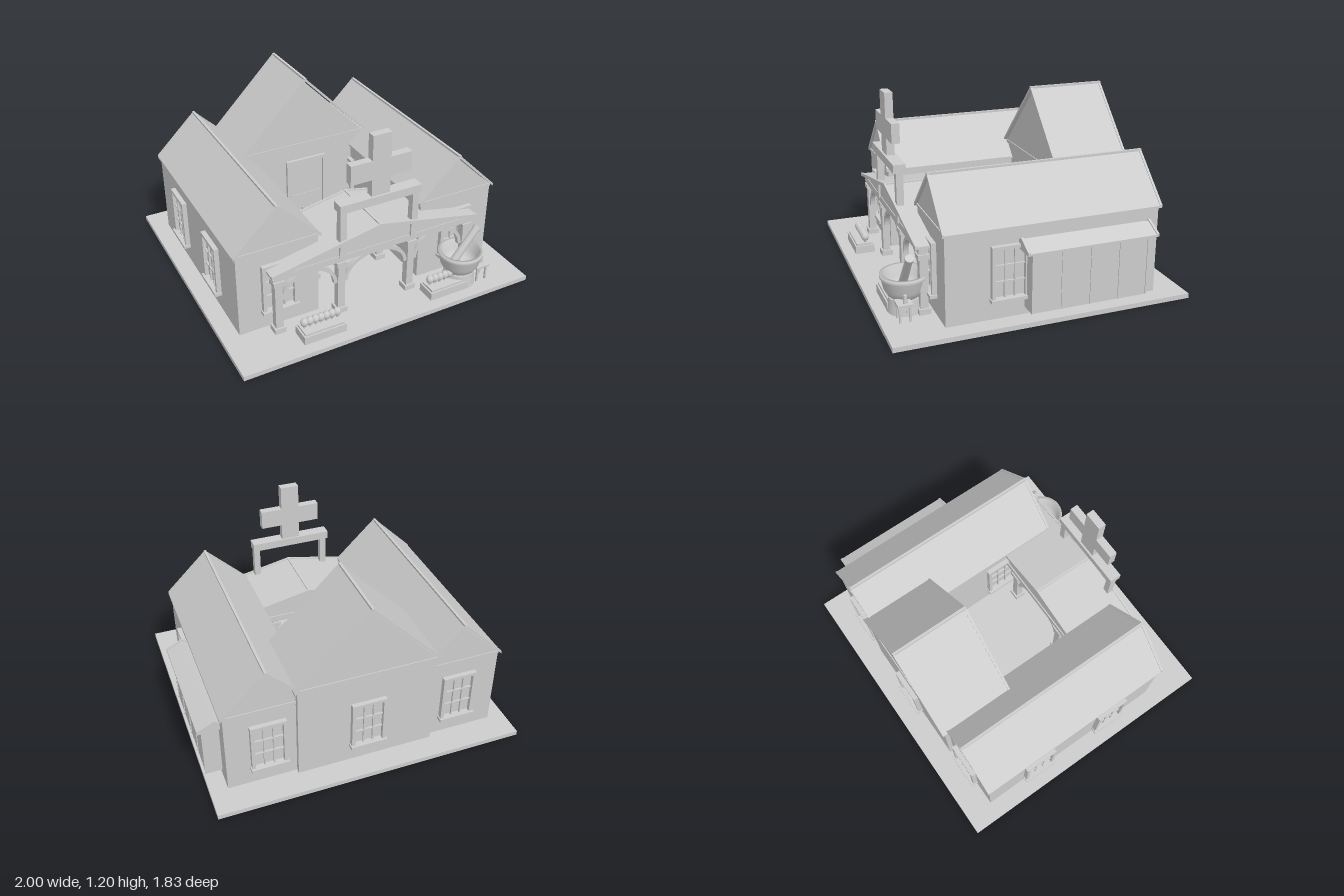
import * as THREE from 'three';

const plaster = new THREE.MeshStandardMaterial({ color: 0xcccccc });
plaster.name = 'light grey';

function add(parent, name, geo) {
  const m = new THREE.Mesh(geo, plaster);
  m.name = name;
  parent.add(m);
  return m;
}

// Box given by its min and max on each axis
function box(parent, name, x0, x1, y0, y1, z0, z1) {
  const m = add(parent, name, new THREE.BoxGeometry(x1 - x0, y1 - y0, z1 - z0));
  m.position.set((x0 + x1) / 2, (y0 + y1) / 2, (z0 + z1) / 2);
  return m;
}

// Outline in x,y extruded from z0 to z1
function prism(parent, name, pts, z0, z1) {
  const shape = new THREE.Shape(pts.map(p => new THREE.Vector2(p[0], p[1])));
  const m = add(parent, name, new THREE.ExtrudeGeometry(shape, { depth: z1 - z0, bevelEnabled: false }));
  m.position.z = z0;
  return m;
}

// Two roof slopes with raised barge boards at the gable ends and a ridge strip
function gableRoof(parent, xc, half, eave, ridge, z0, z1, t = 0.02) {
  const g = new THREE.Group();
  g.name = 'gableRoof';
  parent.add(g);
  const chevron = (name, up, a, b) => prism(g, name, [
    [xc - half, eave], [xc, ridge - t], [xc + half, eave],
    [xc + half, eave + t + up], [xc, ridge + up], [xc - half, eave + t + up]], a, b);
  chevron('roofSlopes', -0.006, z0 + 0.005, z1 - 0.005);
  chevron('backBargeBoard', 0, z0, z0 + 0.015);
  chevron('frontBargeBoard', 0, z1 - 0.015, z1);
  box(g, 'ridgeStrip', xc - 0.008, xc + 0.008, ridge - 0.02, ridge, z0, z1);
}

// House body: walls with gable ends, under a gable roof
function house(parent, name, xc, wallHalf, roofHalf, eave, ridge, wz0, wz1, rz0, rz1) {
  const g = new THREE.Group();
  g.name = name;
  parent.add(g);
  prism(g, 'walls', [[xc - wallHalf, 0.03], [xc + wallHalf, 0.03], [xc + wallHalf, eave + 0.01],
    [xc, ridge - 0.03], [xc - wallHalf, eave + 0.01]], wz0, wz1);
  // tie band across the foot of each gable
  box(g, 'gableBand', xc - wallHalf, xc + wallHalf, eave, eave + 0.02, wz0 - 0.006, wz1 + 0.006);
  gableRoof(g, xc, roofHalf, eave, ridge, rz0, rz1);
}

// Framed window with three by three panes, facing +z before turning
function window_(parent, x, z, turn) {
  const g = new THREE.Group();
  g.name = 'window';
  box(g, 'glass', -0.09, 0.09, 0.17, 0.465, -0.01, 0.006);
  for (const s of [-1, 1]) box(g, 'jamb', s * 0.1 - 0.011, s * 0.1 + 0.011, 0.16, 0.48, -0.01, 0.03);
  box(g, 'head', -0.111, 0.111, 0.46, 0.48, -0.01, 0.03);
  box(g, 'sill', -0.118, 0.118, 0.145, 0.165, -0.01, 0.045);
  for (const s of [-1, 1]) {
    box(g, 'verticalBar', s * 0.03 - 0.004, s * 0.03 + 0.004, 0.165, 0.46, 0, 0.018);
    const y = 0.3125 + s * 0.049;
    box(g, 'crossBar', -0.09, 0.09, y - 0.004, y + 0.004, 0, 0.018);
  }
  g.position.set(x, 0, z);
  g.rotation.y = turn;
  parent.add(g);
}

// Curved arch band between two posts
function arch(parent, x0, x1, z) {
  const xc = (x0 + x1) / 2, rx = (x1 - x0) / 2, y = 0.25;
  const s = new THREE.Shape();
  s.absellipse(xc, y, rx, 0.165, 0, Math.PI, false);
  s.absellipse(xc, y, rx - 0.022, 0.14, Math.PI, 0, true);
  const m = add(parent, 'arch', new THREE.ExtrudeGeometry(s, { depth: 0.03, bevelEnabled: false, curveSegments: 14 }));
  m.position.z = z - 0.015;
}

function post(parent, x, z) {
  box(parent, 'post', x - 0.024, x + 0.024, 0.03, 0.45, z - 0.024, z + 0.024);
  box(parent, 'postBase', x - 0.036, x + 0.036, 0.03, 0.065, z - 0.036, z + 0.036);
  box(parent, 'postCapital', x - 0.034, x + 0.034, 0.37, 0.4, z - 0.034, z + 0.034);
}

function createModel() {
  const root = new THREE.Group();
  root.name = 'apothecaryHouse';
  box(root, 'groundSlab', -1, 0.973, 0, 0.03, -0.917, 0.917);

  // Two wings and the taller hall between them
  const wings = [-0.628, 0.602];
  for (const xc of wings) {
    house(root, 'wing', xc, 0.26, 0.276, 0.57, 0.858, -0.735, 0.587, -0.75, 0.602);
    window_(root, xc, 0.587, 0);
    window_(root, xc, -0.735, Math.PI);
    for (const z of [-0.353, 0.21]) {
      window_(root, xc + 0.26, z, Math.PI / 2);
      window_(root, xc - 0.26, z, -Math.PI / 2);
    }
  }
  house(root, 'hall', -0.012, 0.44, 0.46, 0.665, 1.152, -0.765, -0.3, -0.783, -0.28);
  window_(root, -0.015, -0.765, Math.PI);

  // Hall door
  const door = new THREE.Group();
  door.name = 'door';
  root.add(door);
  box(door, 'doorLeaf', -0.145, 0.12, 0.03, 0.54, -0.305, -0.293);
  for (const x of [-0.158, 0.113]) box(door, 'doorJamb', x, x + 0.018, 0.03, 0.56, -0.305, -0.28);
  box(door, 'doorHead', -0.158, 0.131, 0.54, 0.565, -0.305, -0.28);
  for (const y of [0.08, 0.285]) box(door, 'doorStrap', -0.125, 0.1, y, y + 0.008, -0.295, -0.288);
  for (const x of [-0.047, 0.01]) box(door, 'doorHandle', x, x + 0.01, 0.165, 0.185, -0.295, -0.28);

  // Porch roof with gable boards at both ends
  const porch = new THREE.Group();
  porch.name = 'porch';
  root.add(porch);
  const pc = -0.012;
  gableRoof(porch, pc, 0.705, 0.445, 0.61, 0.257, 0.703, 0.022);
  for (const z of [0.265, 0.65]) {
    prism(porch, 'pediment', [[pc - 0.69, 0.44], [pc + 0.69, 0.44], [pc, 0.595]], z, z + 0.025);
    box(porch, 'porchBeam', pc - 0.69, pc + 0.69, 0.41, 0.452, z - 0.008, z + 0.03);
  }

  // Posts and arches
  const px = [-0.665, -0.255, 0.231, 0.64];
  px.forEach((x, i) => {
    post(porch, x, 0.648);
    if (i < 3) arch(porch, x + 0.024, px[i + 1] - 0.024, 0.648);
  });
  for (const x of [px[1], px[2]]) post(porch, x, 0.285);
  arch(porch, px[1] + 0.024, px[2] - 0.024, 0.285);

  // Cross sign standing on a frame above the porch
  const sign = new THREE.Group();
  sign.name = 'sign';
  root.add(sign);
  for (const x of [px[1], px[2]]) box(sign, 'signPost', x - 0.021, x + 0.021, 0.44, 0.76, 0.643, 0.688);
  box(sign, 'signBeam', -0.285, 0.256, 0.755, 0.808, 0.627, 0.704);
  const [a, b, c, d] = [-0.215, -0.076, 0.046, 0.186];
  prism(sign, 'cross', [[b, 0.8], [c, 0.8], [c, 0.917], [d, 0.917], [d, 1.04], [c, 1.04],
    [c, 1.197], [b, 1.197], [b, 1.04], [a, 1.04], [a, 0.917], [b, 0.917]], 0.639, 0.69);

  // Side cupboard with a small sloping roof
  const cupboard = new THREE.Group();
  cupboard.name = 'sideCupboard';
  root.add(cupboard);
  box(cupboard, 'cupboardBody', 0.855, 0.963, 0.077, 0.46, -0.62, 0.113);
  for (let i = 0; i <= 4; i++) {
    const z = -0.616 + i * 0.1813;
    box(cupboard, 'cupboardBatten', 0.96, 0.968, 0.077, 0.45, z - 0.004, z + 0.004);
  }
  const awning = (n, o, z0, z1) => prism(cupboard, n, [[0.85, 0.447], [0.998, 0.447],
    [0.998, 0.46 + o], [0.893, 0.511 + o], [0.85, 0.485 + o]], z0, z1);
  awning('cupboardRoof', 0, -0.66, 0.145);
  for (const z of [-0.665, 0.138]) awning('cupboardRoofEdge', 0.007, z, z + 0.015);

  // Planters, each with a row of round plants
  for (const x of [-0.587, 0.285]) {
    box(root, 'planter', x, x + 0.275, 0.03, 0.083, 0.715, 0.843);
    box(root, 'planterRim', x + 0.01, x + 0.265, 0.083, 0.096, 0.725, 0.833);
    for (let i = 0; i < 7; i++) {
      const s = add(root, 'plant', new THREE.SphereGeometry(0.024, 14, 10));
      s.position.set(x + 0.032 + i * 0.036, 0.136, 0.772);
      s.scale.y = 1.15;
      const stem = add(root, 'stem', new THREE.CylinderGeometry(0.007, 0.007, 0.03, 6));
      stem.position.set(s.position.x, 0.105, 0.772);
    }
  }

  // Mortar and pestle on a round plinth
  const mortar = new THREE.Group();
  mortar.name = 'mortar';
  mortar.position.set(0.56, 0, 0.738);
  root.add(mortar);
  const plinth = add(mortar, 'plinth', new THREE.CylinderGeometry(0.095, 0.105, 0.09, 28));
  plinth.position.y = 0.075;
  const profile = [[0, 0.118], [0.08, 0.118], [0.1, 0.135], [0.122, 0.175], [0.134, 0.235], [0.141, 0.24],
    [0.141, 0.262], [0.12, 0.262], [0.11, 0.2], [0.08, 0.16], [0, 0.145]];
  add(mortar, 'bowl', new THREE.LatheGeometry(profile.map(p => new THREE.Vector2(p[0], p[1])), 32));
  const pestle = new THREE.Group();
  pestle.name = 'pestle';
  add(pestle, 'pestleShaft', new THREE.CylinderGeometry(0.022, 0.026, 0.28, 16));
  add(pestle, 'pestleCap', new THREE.CylinderGeometry(0.026, 0.026, 0.025, 16)).position.y = 0.13;
  pestle.position.set(0.035, 0.285, -0.005);
  pestle.rotation.z = -0.66;
  mortar.add(pestle);

  // Little stool with a bottle
  const stool = new THREE.Group();
  stool.name = 'stool';
  root.add(stool);
  box(stool, 'stoolTop', 0.64, 0.738, 0.128, 0.142, 0.733, 0.822);
  for (const x of [0.65, 0.715]) for (const z of [0.742, 0.802])
    box(stool, 'stoolLeg', x, x + 0.012, 0.03, 0.13, z, z + 0.012);
  add(stool, 'bottle', new THREE.CylinderGeometry(0.01, 0.014, 0.05, 10)).position.set(0.708, 0.166, 0.772);

  return root;
}

export { createModel };
